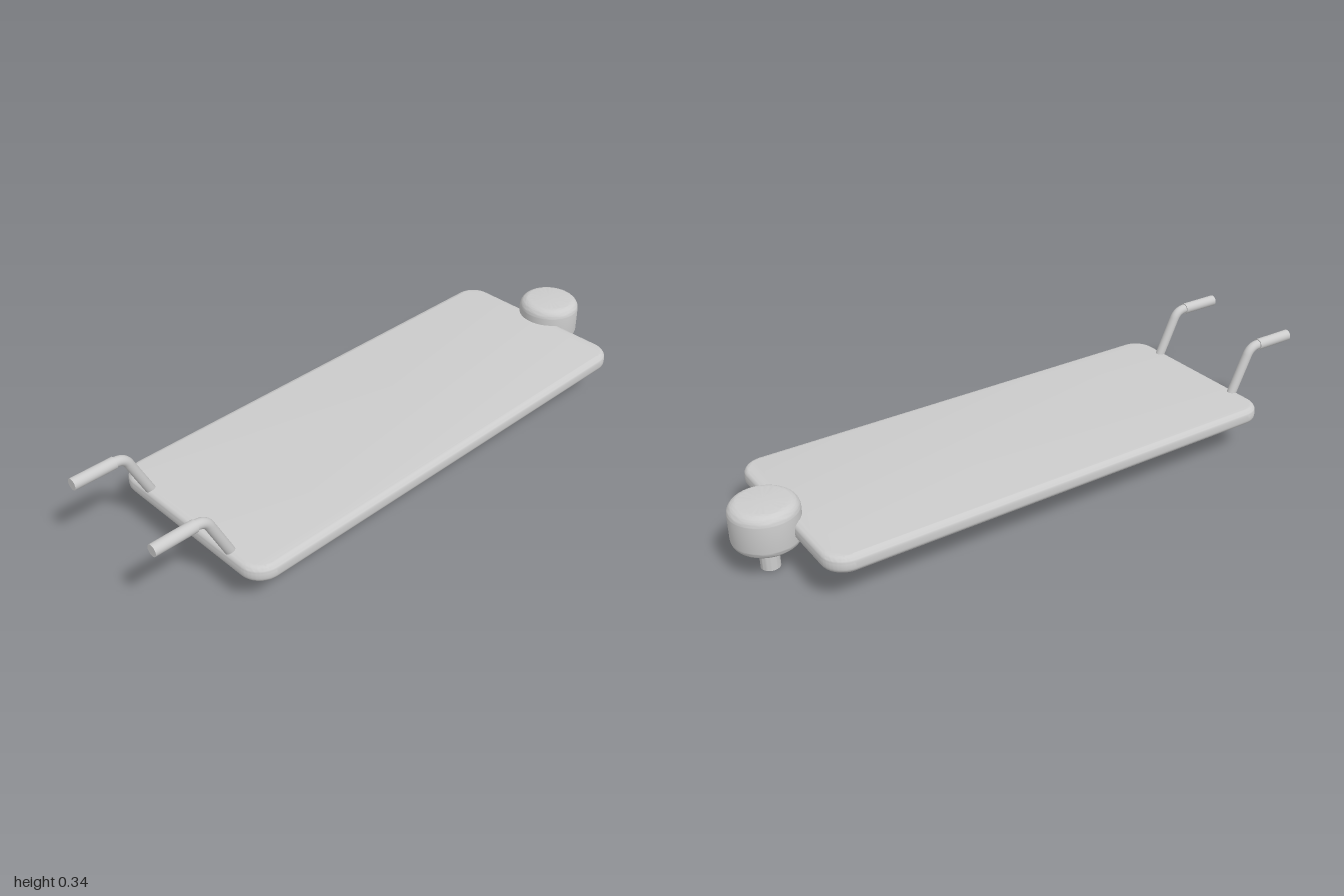
import * as THREE from 'three';
import { toCreasedNormals } from 'three/addons/utils/BufferGeometryUtils.js';

const material = new THREE.MeshStandardMaterial({ color: 0xcccccc });

function addMesh(parent, name, geometry) {
  const mesh = new THREE.Mesh(geometry, material);
  mesh.name = name;
  parent.add(mesh);
  return mesh;
}

function roundedRect(w, d, r) {
  const s = new THREE.Shape();
  const x = w / 2, y = d / 2;
  s.absarc(x - r, y - r, r, 0, Math.PI / 2);
  s.absarc(-x + r, y - r, r, Math.PI / 2, Math.PI);
  s.absarc(-x + r, -y + r, r, Math.PI, Math.PI * 1.5);
  s.absarc(x - r, -y + r, r, Math.PI * 1.5, Math.PI * 2);
  s.closePath();
  return s;
}

// Flat board with rounded corners and soft edges
function makeBoard() {
  const bevel = 0.02, thickness = 0.054;
  const geometry = new THREE.ExtrudeGeometry(roundedRect(0.66 - 2 * bevel, 1.62 - 2 * bevel, 0.055), {
    depth: thickness - 2 * bevel, bevelEnabled: true, bevelSize: bevel,
    bevelThickness: bevel, bevelSegments: 6, curveSegments: 10,
  });
  geometry.rotateX(-Math.PI / 2);
  geometry.translate(0, 0.12 + bevel, -0.035);
  return toCreasedNormals(geometry, 0.6);
}

// Turned knob: rounded drum, tapered underside and stem
function makeKnob() {
  const p = new THREE.Path();
  p.moveTo(0, 0);
  p.lineTo(0.03, 0);
  p.lineTo(0.03, 0.063);
  p.lineTo(0.088, 0.088);
  p.quadraticCurveTo(0.106, 0.097, 0.106, 0.118);
  p.lineTo(0.106, 0.195);
  p.absarc(0.073, 0.195, 0.033, 0, Math.PI / 2);
  p.lineTo(0, 0.228);
  const geometry = new THREE.LatheGeometry(p.getPoints(8), 48);
  return toCreasedNormals(geometry, 0.5);
}

// Bent rod rising from the front edge, with a thicker grip
function makeHandle(x) {
  const handle = new THREE.Group();
  const v = (y, z) => new THREE.Vector3(0, y, z);
  const path = new THREE.CurvePath();
  path.add(new THREE.LineCurve3(v(0.165, 0.754), v(0.298, 0.815)));
  path.add(new THREE.QuadraticBezierCurve3(v(0.298, 0.815), v(0.325, 0.828), v(0.325, 0.86)));
  path.add(new THREE.LineCurve3(v(0.325, 0.86), v(0.325, 0.9)));
  addMesh(handle, 'handleRod', new THREE.TubeGeometry(path, 40, 0.016, 20));

  const grip = addMesh(handle, 'handleGrip', new THREE.CylinderGeometry(0.019, 0.019, 0.14, 24));
  grip.rotation.x = Math.PI / 2;
  grip.position.set(0, 0.325, 0.93);
  handle.position.x = x;
  return handle;
}

export function createModel() {
  const model = new THREE.Group();
  model.name = 'board';
  addMesh(model, 'boardDeck', makeBoard());
  addMesh(model, 'rearKnob', makeKnob()).position.z = -0.894;
  for (const side of [-1, 1]) {
    const handle = makeHandle(side * 0.189);
    handle.name = side > 0 ? 'leftHandle' : 'rightHandle';
    model.add(handle);
  }
  return model;
}
